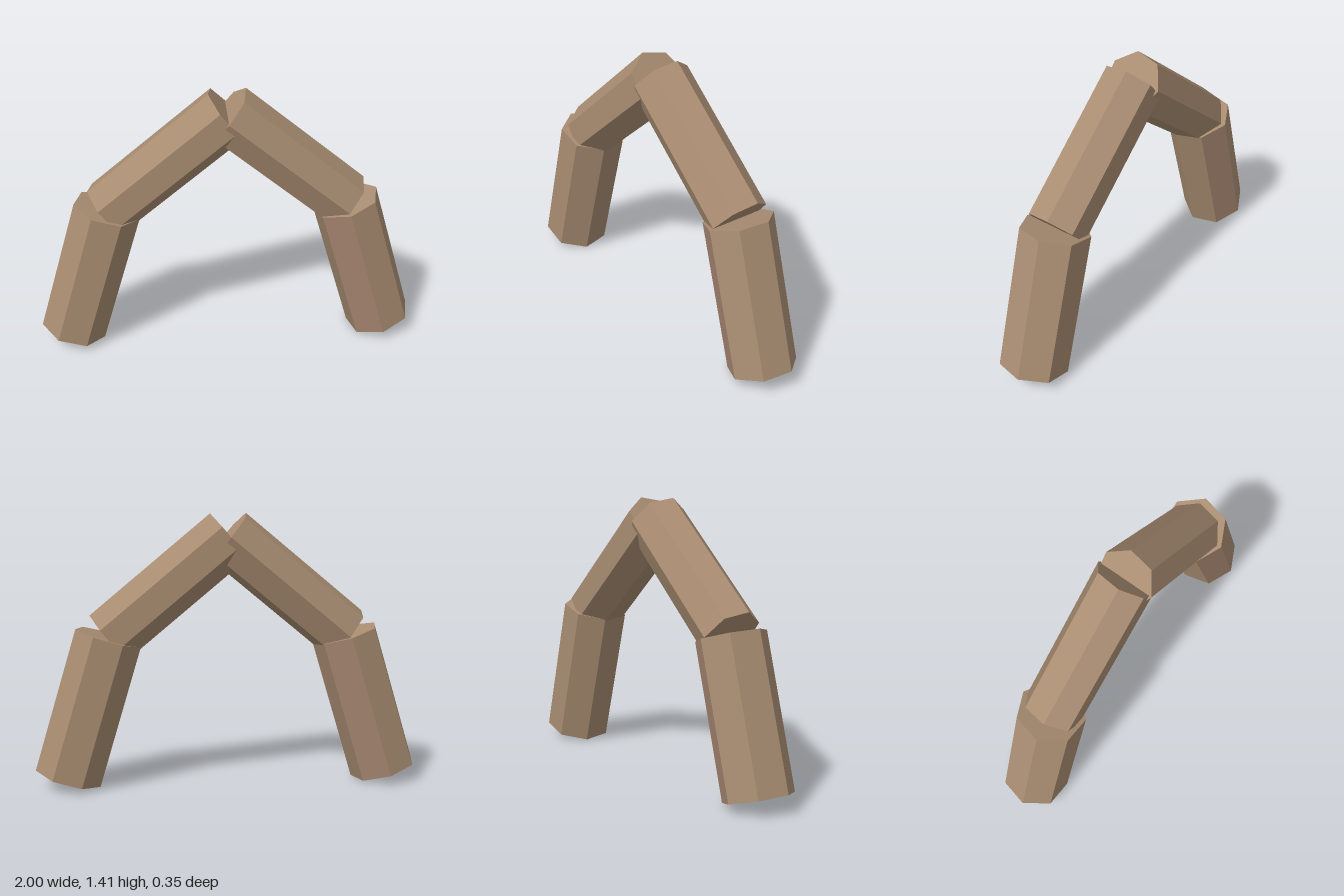
import * as THREE from 'three';

const bark = new THREE.MeshStandardMaterial({ color: 0xa98d72, flatShading: true });
bark.name = 'bark brown';
const rosyBark = new THREE.MeshStandardMaterial({ color: 0xa98872, flatShading: true });
rosyBark.name = 'rosy bark brown';

// Seven-sided log running from its lower end to its upper end in the xy plane
function makeLog(name, radius, [x0, y0], [x1, y1], rosyFacet) {
  const length = Math.hypot(x1 - x0, y1 - y0);
  const geometry = new THREE.CylinderGeometry(radius, radius, length, 7);
  geometry.clearGroups();
  // The last side facet may take the second tint
  geometry.addGroup(0, 36, 0);
  geometry.addGroup(36, 6, rosyFacet ? 1 : 0);
  geometry.addGroup(42, 42, 0);
  const log = new THREE.Mesh(geometry, [bark, rosyBark]);
  log.name = name;
  log.position.set((x0 + x1) / 2, (y0 + y1) / 2, 0);
  log.rotation.z = Math.atan2(x0 - x1, y1 - y0);
  return log;
}

// One half of the arch: a leaning leg and a sloping beam
function makeHalf(side) {
  const half = new THREE.Group();
  half.name = `${side}Half`;
  half.add(makeLog(`${side}Leg`, 0.176, [0.835, 0.05], [0.616, 0.782], true));
  half.add(makeLog(`${side}Beam`, 0.153, [0.613, 0.784], [0, 1.294], false));
  return half;
}

export function createModel() {
  const model = new THREE.Group();
  model.name = 'logArch';
  const left = makeHalf('left');
  // The other half is the same one turned half way round
  const right = makeHalf('right');
  right.rotation.y = Math.PI;
  model.add(left, right);
  return model;
}
